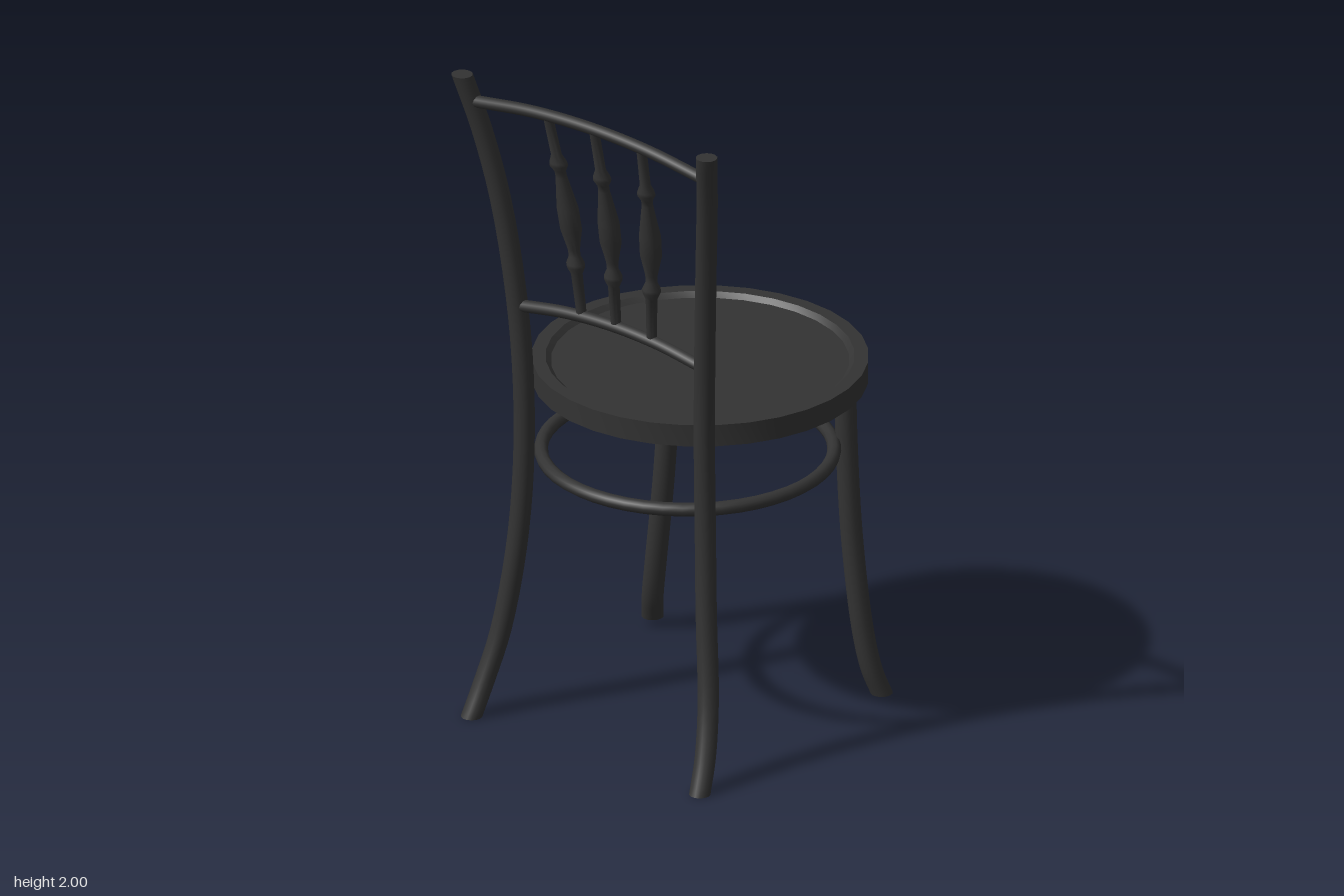
import * as THREE from 'three';
import { toCreasedNormals } from 'three/addons/utils/BufferGeometryUtils.js';

const material = new THREE.MeshStandardMaterial({ color: 0x333333 });
const curve = (pts) => new THREE.CatmullRomCurve3(pts.map((p) => new THREE.Vector3(...p)));

// Bends an upright geometry (y from 0 to 1) so its level rings follow a path
function bend(geometry, path) {
  const pos = geometry.attributes.position;
  for (let i = 0; i < pos.count; i++) {
    const c = path.getPoint(THREE.MathUtils.clamp(pos.getY(i), 0, 1));
    pos.setXYZ(i, c.x + pos.getX(i), c.y, c.z + pos.getZ(i));
  }
  return toCreasedNormals(geometry, 0.9);
}

// Round bentwood rod with level cut ends
function rod(path, radius) {
  const g = new THREE.CylinderGeometry(radius, radius, 1, 14, 36);
  return bend(g.translate(0, 0.5, 0), path);
}

export function createModel() {
  const model = new THREE.Group();
  const add = (name, geometry) => {
    const mesh = new THREE.Mesh(geometry, material);
    mesh.name = name;
    model.add(mesh);
    return mesh;
  };

  // Round seat: raised rim, sunken panel, hollow underside
  const seatProfile = [
    [0, 1.045], [0.41, 1.045], [0.41, 1.006], [0.48, 1.006], [0.48, 1.072],
    [0.44, 1.072], [0.425, 1.058], [0, 1.058],
  ].map(([r, y]) => new THREE.Vector2(r, y));
  const seat = add('seat', toCreasedNormals(new THREE.LatheGeometry(seatProfile, 32), 0.5));
  seat.position.x = 0.03;

  // Hoop tying the legs together
  const hoop = add('legHoop', new THREE.TorusGeometry(0.417, 0.02, 10, 48).rotateX(Math.PI / 2));
  hoop.position.set(-0.026, 0.8, 0);

  for (const [side, s] of [['left', 1], ['right', -1]]) {
    // Back leg and back post in one sweep
    const post = [
      [-0.476, 0, 0.42], [-0.435, 0.1, 0.407], [-0.392, 0.25, 0.382], [-0.362, 0.5, 0.35],
      [-0.348, 0.75, 0.335], [-0.35, 1.03, 0.333], [-0.365, 1.3, 0.347],
      [-0.397, 1.6, 0.378], [-0.436, 1.82, 0.414], [-0.482, 2, 0.45],
    ];
    add(side + 'BackPost', rod(curve(post.map(([x, y, z]) => [x, y, s * z - 0.005])), 0.031));

    // Front leg, flaring at the foot
    const leg = [
      [0.342, 0.025, 0.418], [0.32, 0.1, 0.4], [0.307, 0.22, 0.378],
      [0.301, 0.5, 0.343], [0.302, 0.8, 0.322], [0.303, 1.045, 0.315],
    ];
    add(side + 'FrontLeg', rod(curve(leg.map(([x, y, z]) => [x + s * 0.004, y, s * z - 0.01])), 0.032));
  }

  // Arched rails across the back
  const rail = (name, x, half, yEnd, yMid) => add(name, new THREE.TubeGeometry(curve([
    [x, yEnd, half], [x, yEnd + (yMid - yEnd) * 0.75, half / 2], [x, yMid, 0],
    [x, yEnd + (yMid - yEnd) * 0.75, -half / 2], [x, yEnd, -half],
  ]), 28, 0.018, 10));
  rail('topRail', -0.464, 0.425, 1.918, 1.957);
  rail('lowerRail', -0.365, 0.335, 1.27, 1.305);

  // Turned spindles: two beads with a long swelling between them
  const spindleProfile = [
    [0.015, 0], [0.017, 0.21], [0.027, 0.245], [0.027, 0.26], [0.017, 0.295],
    [0.018, 0.33], [0.032, 0.43], [0.032, 0.53], [0.017, 0.69], [0.017, 0.72],
    [0.027, 0.75], [0.025, 0.765], [0.016, 0.8], [0.015, 1],
  ].map(([r, y]) => new THREE.Vector2(r, y));
  [[0.145, 0.188], [0.015, 0.015], [-0.112, -0.156]].forEach(([low, high], i) => {
    const path = curve([
      [-0.363, 1.3, low], [-0.395, 1.625, (low + high) / 2], [-0.462, 1.95, high],
    ]);
    add('spindle' + (i + 1), bend(new THREE.LatheGeometry(spindleProfile, 12), path));
  });

  return model;
}
